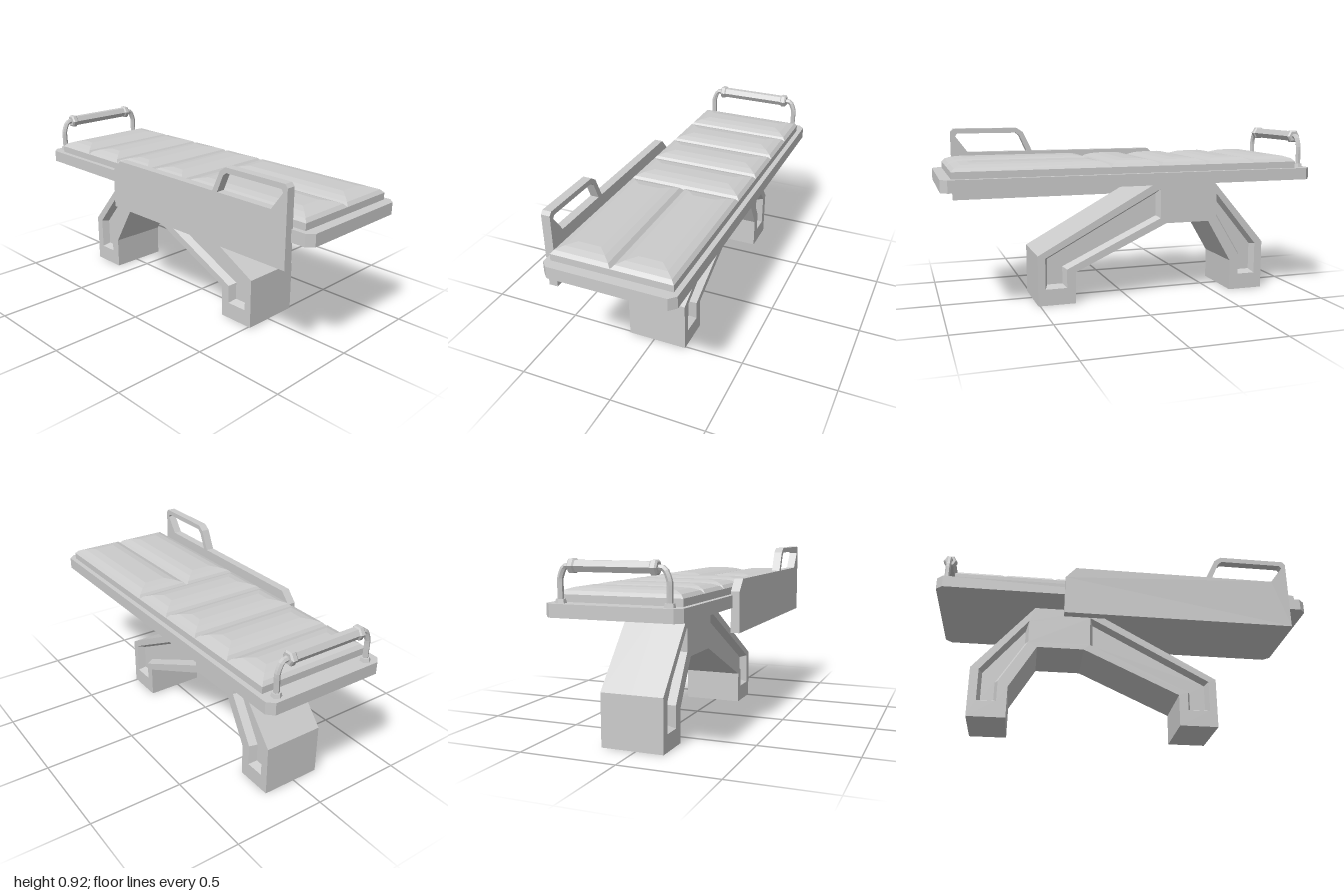
import * as THREE from 'three';
import { mergeGeometries } from 'three/addons/utils/BufferGeometryUtils.js';

const MID = 0.018; // centre line of the bed in x
const mat = new THREE.MeshStandardMaterial({ color: 0xcccccc, flatShading: true });

const toShape = (pts) => new THREE.Shape(pts.map(([u, v]) => new THREE.Vector2(u, v)));

function add(parent, name, geometry, x = 0, y = 0, z = 0) {
  const mesh = new THREE.Mesh(geometry, mat);
  mesh.name = name;
  mesh.position.set(x, y, z);
  parent.add(mesh);
  return mesh;
}

// Move every edge of a counter-clockwise loop inwards by d
function inset(loop, d) {
  const n = loop.length;
  const normal = (a, b) => {
    const l = Math.hypot(b[0] - a[0], b[1] - a[1]);
    return [-(b[1] - a[1]) / l, (b[0] - a[0]) / l];
  };
  return loop.map((p, i) => {
    const a = normal(loop[(i + n - 1) % n], p);
    const b = normal(p, loop[(i + 1) % n]);
    const k = d / (1 + a[0] * b[0] + a[1] * b[1]);
    return [p[0] + (a[0] + b[0]) * k, p[1] + (a[1] + b[1]) * k];
  });
}

// Wall between two loops of equal length lying at depths da and db
function band(a, da, b, db) {
  const pos = [];
  a.forEach((p, i) => {
    const j = (i + 1) % a.length;
    const A = [...p, da], B = [...a[j], da], C = [...b[j], db], D = [...b[i], db];
    pos.push(...A, ...B, ...C, ...A, ...C, ...D);
  });
  const g = new THREE.BufferGeometry();
  g.setAttribute('position', new THREE.Float32BufferAttribute(pos, 3));
  g.computeVertexNormals();
  return g;
}

// Flat face at a depth, with optional holes
function cap(loop, depth, holes = []) {
  const shape = toShape(loop);
  shape.holes = holes.map(toShape);
  const g = new THREE.ShapeGeometry(shape).toNonIndexed();
  g.deleteAttribute('uv');
  return g.translate(0, 0, depth);
}

function buildLegs(group) {
  const half = 0.1625, floor = half - 0.04;
  // Profiles as [z, y]
  const outline = [[0.51, 0], [0.51, 0.27], [-0.17, 0.642], [-0.48, 0.642], [-0.8, 0.27], [-0.8, 0],
    [-0.6, 0], [-0.6, 0.17], [-0.46, 0.407], [-0.21, 0.407], [0.305, 0.17], [0.305, 0]];
  const recesses = [
    [[0.47, 0.088], [0.47, 0.255], [-0.177, 0.6], [-0.177, 0.437], [0.353, 0.188], [0.353, 0.088]],
    [[-0.508, 0.56], [-0.755, 0.262], [-0.755, 0.088], [-0.653, 0.088], [-0.653, 0.2], [-0.508, 0.435]],
  ];
  const parts = [band(outline, 0, outline, half), cap(outline, half, recesses)];
  for (const r of recesses) {
    const bottom = inset(r, 0.017);
    parts.push(band(r, half, bottom, floor), cap(bottom, floor));
  }
  const g = mergeGeometries(parts).rotateY(-Math.PI / 2);
  add(group, 'rightLegHalf', g, MID);
  add(group, 'leftLegHalf', g, MID).scale.x = -1;
}

// Cushion with sides sloping up in steps to a flat middle
function cushion(x0, x1, z0, z1) {
  const rect = [[x0, -z1], [x1, -z1], [x1, -z0], [x0, -z0]];
  const steps = [[0, 0.74], [0.016, 0.757], [0.05, 0.769], [0.095, 0.776]];
  const rings = steps.map(([d]) => inset(rect, d));
  const parts = [];
  for (let i = 0; i < 3; i++) parts.push(band(rings[i], steps[i][1], rings[i + 1], steps[i + 1][1]));
  parts.push(cap(rings[3], steps[3][1]));
  return mergeGeometries(parts).rotateX(-Math.PI / 2);
}

function buildMattress(group) {
  const x0 = -0.29, x1 = 0.326;
  add(group, 'mattressBase', new THREE.BoxGeometry(x1 - x0, 0.037, 1.857), MID, 0.7215, 0.0185);
  const rows = [-0.91, -0.65, -0.385, -0.12, 0.15];
  for (let i = 0; i < 4; i++) add(group, 'backCushion', cushion(x0, x1, rows[i], rows[i + 1]));
  add(group, 'rightLegCushion', cushion(x0, MID, 0.15, 0.947));
  add(group, 'leftLegCushion', cushion(MID, x1, 0.15, 0.947));
}

// Side guard with a raised grip at the foot end
function buildSideGuard(group) {
  const shape = toShape([[0.89, 0.515], [0.89, 0.9], [0.875, 0.917], [0.52, 0.917], [0.485, 0.892],
    [0.435, 0.785], [-0.275, 0.785], [-0.33, 0.725], [-0.33, 0.515]]);
  shape.holes.push(toShape([[0.8, 0.785], [0.467, 0.785], [0.505, 0.872], [0.525, 0.89],
    [0.855, 0.89], [0.866, 0.875]]));
  const g = new THREE.ExtrudeGeometry(shape, { depth: 0.046, bevelEnabled: false }).rotateY(-Math.PI / 2);
  add(group, 'sideGuard', g, -0.308);
}

// Hexagonal grip carried on two bent posts
function buildHeadRail(group) {
  const rail = new THREE.Group();
  rail.name = 'headRail';
  rail.position.set(MID, 0, -0.955);
  group.add(rail);
  // Hexagon along x, with flats on top and bottom
  const hex = (points) => new THREE.LatheGeometry(points.map(([r, h]) => new THREE.Vector2(r, h)), 6)
    .rotateZ(-Math.PI / 2);
  add(rail, 'gripBar', hex([[0.03, -0.19], [0.03, 0.19]]), 0, 0.873);
  for (const s of [-1, 1]) {
    add(rail, 'collar', hex([[0, -0.018], [0.029, -0.018], [0.037, -0.01], [0.037, 0.01],
      [0.029, 0.018], [0, 0.018]]), s * 0.199, 0.873);
    const path = new THREE.CatmullRomCurve3([[0.266, 0.705], [0.266, 0.76], [0.266, 0.815], [0.26, 0.835],
      [0.246, 0.864], [0.234, 0.872], [0.19, 0.873]].map(([x, y]) => new THREE.Vector3(s * x, y, 0)));
    add(rail, 'post', new THREE.TubeGeometry(path, 14, 0.0145, 6));
    add(rail, 'postFoot', new THREE.CylinderGeometry(0.022, 0.027, 0.02, 6), s * 0.266, 0.714);
  }
}

export function createModel() {
  const group = new THREE.Group();
  group.name = 'treatmentBed';

  // Deck with cut corners
  const w = 0.335, l = 1, c = 0.033;
  const deck = toShape([[w, c - l], [w, l - c], [w - c, l], [c - w, l], [-w, l - c], [-w, c - l], [c - w, -l], [w - c, -l]]);
  const deckGeometry = new THREE.ExtrudeGeometry(deck, { depth: 0.063, bevelEnabled: false });
  add(group, 'deck', deckGeometry.rotateX(-Math.PI / 2), MID, 0.642);

  buildLegs(group);
  buildMattress(group);
  buildSideGuard(group);
  buildHeadRail(group);
  return group;
}
